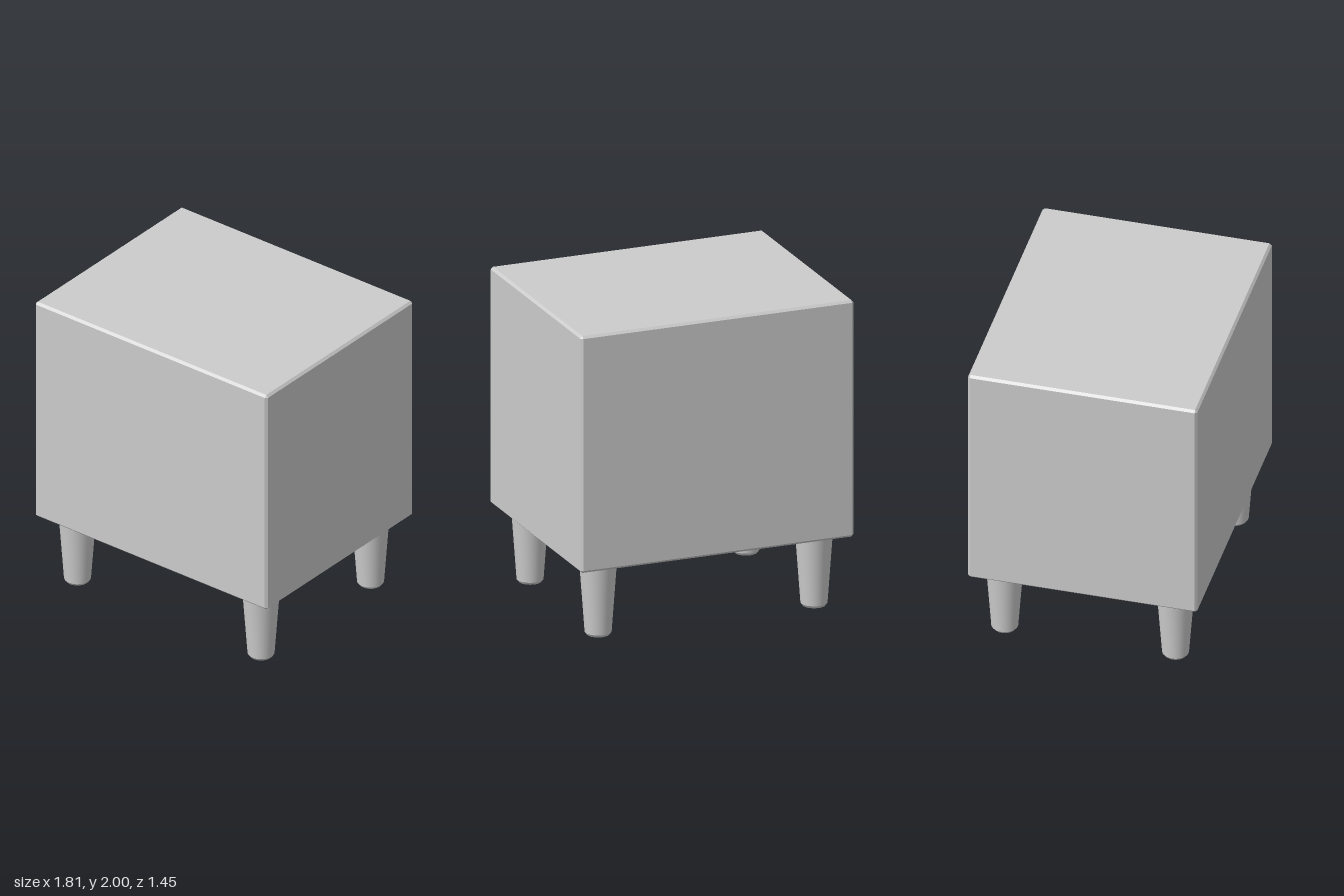
import * as THREE from 'three';
import { ConvexGeometry } from 'three/addons/geometries/ConvexGeometry.js';
import { toCreasedNormals } from 'three/addons/utils/BufferGeometryUtils.js';

// Box centred on the origin with flat chamfers on every edge
function chamferedBox(width, height, depth, chamfer) {
  const half = [width / 2, height / 2, depth / 2];
  const points = [];
  for (const sx of [-1, 1]) for (const sy of [-1, 1]) for (const sz of [-1, 1]) {
    for (let face = 0; face < 3; face++) {
      const [x, y, z] = half.map((h, axis) => (axis === face ? h : h - chamfer));
      points.push(new THREE.Vector3(sx * x, sy * y, sz * z));
    }
  }
  return new ConvexGeometry(points);
}

export function createModel() {
  const model = new THREE.Group();
  model.name = 'footstool';
  const material = new THREE.MeshStandardMaterial({ color: 0xcccccc });

  // Block-shaped body
  const bottom = 0.47, top = 2;
  const body = new THREE.Mesh(chamferedBox(1.81, top - bottom, 1.45, 0.015), material);
  body.name = 'body';
  body.position.y = (bottom + top) / 2;
  model.add(body);

  // Tapered round legs with a small chamfer at the foot
  const profile = [[0, 0], [0.07, 0], [0.083, 0.017], [0.116, bottom], [0, bottom]]
    .map(([r, y]) => new THREE.Vector2(r, y));
  const legGeometry = toCreasedNormals(new THREE.LatheGeometry(profile, 32), Math.PI / 7);
  for (const [z, end] of [[0.54, 'front'], [-0.54, 'back']]) {
    for (const [x, side] of [[0.715, 'Left'], [-0.715, 'Right']]) {
      const leg = new THREE.Mesh(legGeometry, material);
      leg.name = `${end}${side}Leg`;
      leg.position.set(x, 0, z);
      model.add(leg);
    }
  }
  return model;
}
